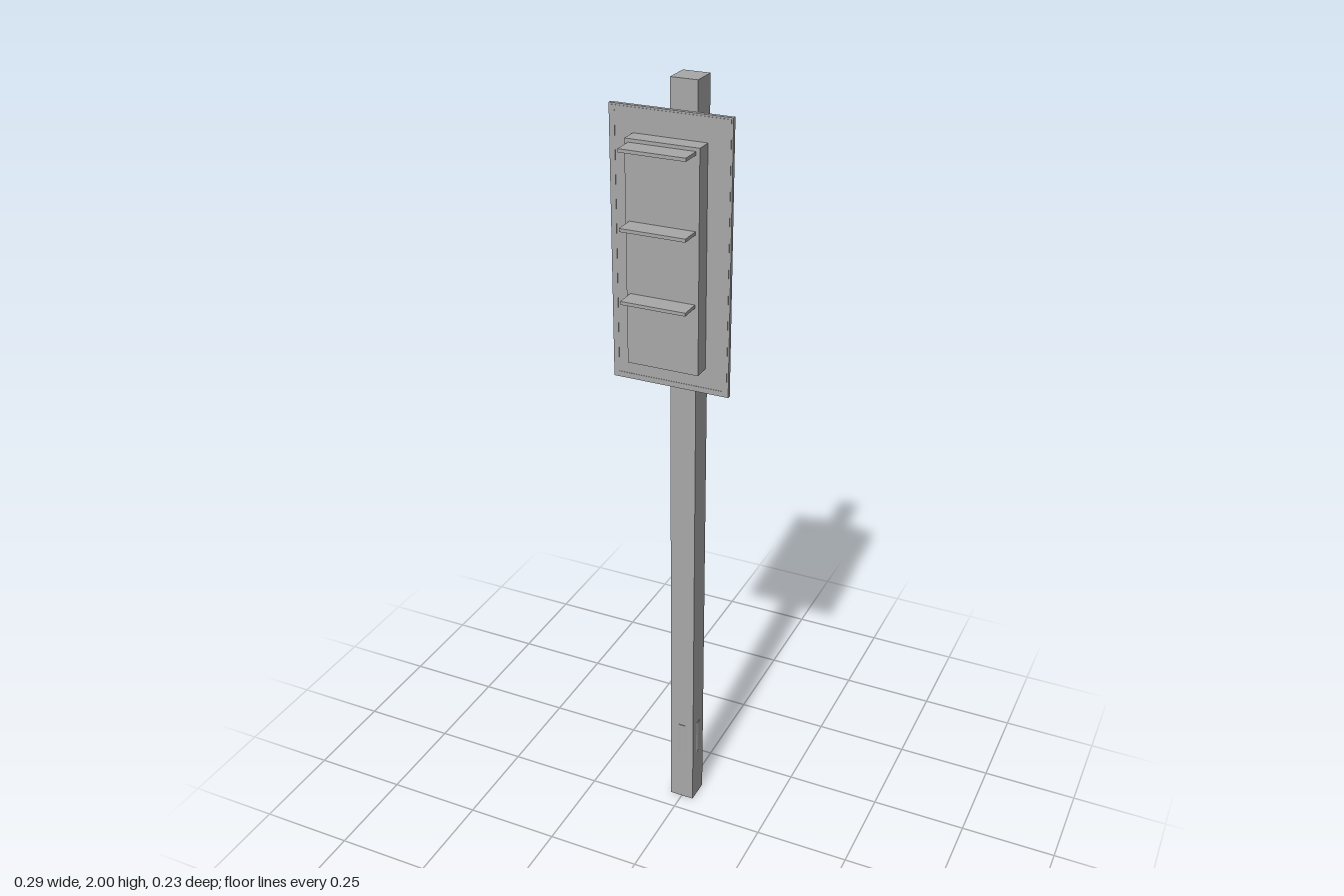
import * as THREE from 'three';

export function createModel() {
  const model = new THREE.Group();
  model.name = 'signalPost';

  const grey = new THREE.MeshStandardMaterial({ color: 0xa8a8a8 });
  grey.name = 'grey';

  const add = (name, geometry, x, y, z) => {
    const mesh = new THREE.Mesh(geometry, grey);
    mesh.name = name;
    mesh.position.set(x, y, z);
    model.add(mesh);
  };

  // Box given by its width and its y and z ranges, centred on x = 0
  const slab = (name, width, y0, y1, z0, z1) =>
    add(name, new THREE.BoxGeometry(width, y1 - y0, z1 - z0), 0, (y0 + y1) / 2, (z0 + z1) / 2);

  // Square post with a round collar just breaking through its sides
  slab('post', 0.066, 0, 2, -0.115, -0.049);
  add('postCollar', new THREE.CylinderGeometry(0.035, 0.035, 0.1, 32), 0, 0.2, -0.082);

  // Signal housing and the backing board around it
  slab('housing', 0.177, 1.364, 1.89, -0.053, 0.064);
  slab('backingBoard', 0.292, 1.302, 1.95, 0.012, 0.022);

  // Thin border on the front of the board
  const rectangle = (ShapeType, w, h) => new ShapeType([
    new THREE.Vector2(-w, -h), new THREE.Vector2(w, -h),
    new THREE.Vector2(w, h), new THREE.Vector2(-w, h),
  ]);
  const border = rectangle(THREE.Shape, 0.142, 0.32);
  border.holes.push(rectangle(THREE.Path, 0.132, 0.31));
  add('boardBorder', new THREE.ExtrudeGeometry(border, { depth: 0.001, bevelEnabled: false }), 0, 1.626, 0.022);

  // Flat visor above each of the three lamps
  for (const y of [1.878, 1.702, 1.532]) {
    slab('visor', 0.159, y - 0.004, y + 0.004, 0.06, 0.115);
  }

  return model;
}
